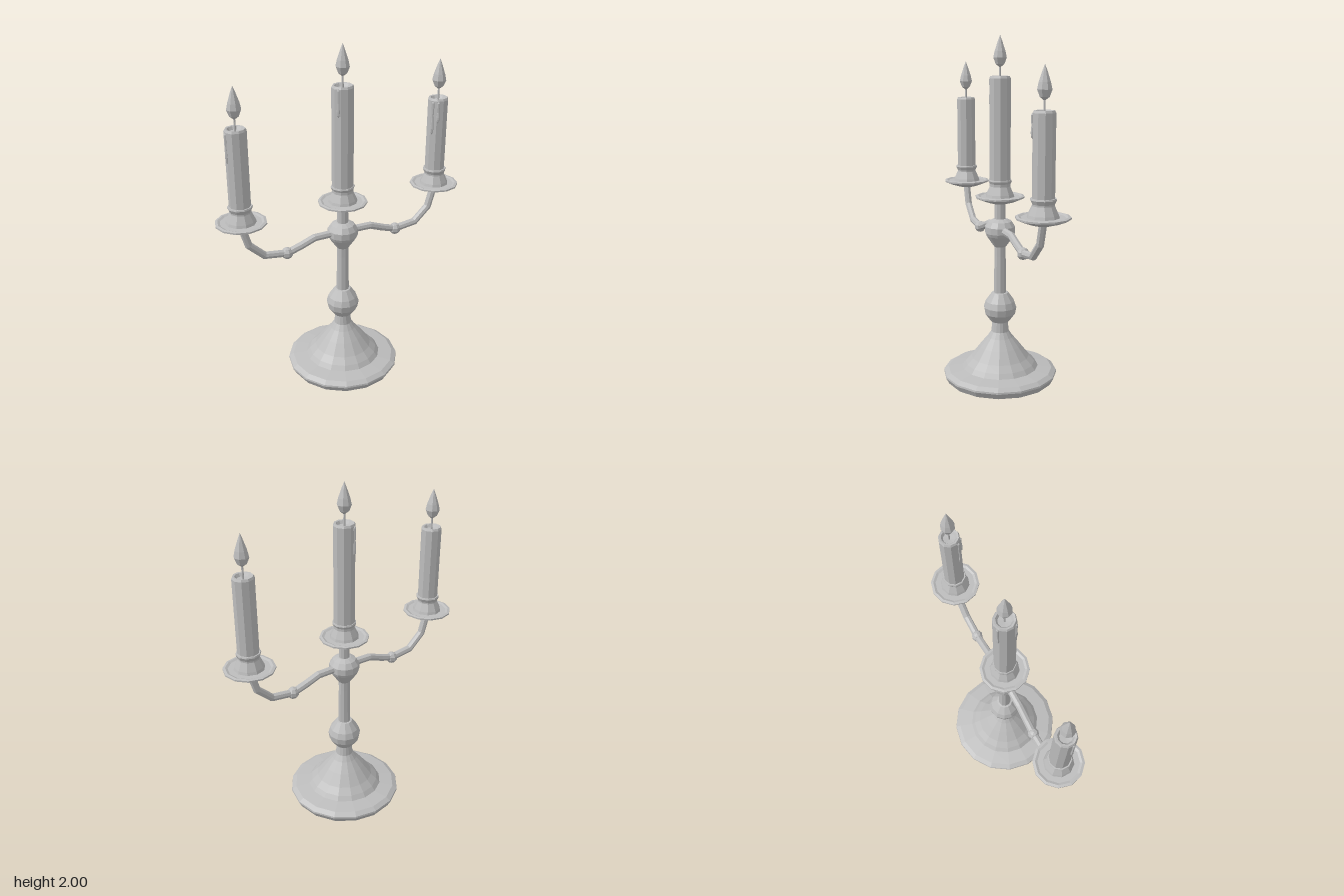
import * as THREE from 'three';

const metal = new THREE.MeshStandardMaterial({ color: 0xbcbcbc, flatShading: true });
metal.name = 'plain grey';

function add(parent, geometry, name) {
  const mesh = new THREE.Mesh(geometry, metal);
  mesh.name = name;
  parent.add(mesh);
  return mesh;
}

// Faceted turned part; the profile runs from bottom to top as [radius, height]
function turned(parent, name, profile, sides) {
  const pts = profile.map(([r, y]) => new THREE.Vector2(r, y));
  return add(parent, new THREE.LatheGeometry(pts, sides), name);
}

// Candle on its drip dish; drips are [angle from +z, length, start below the rim]
function candleHolder(name, x, top, radius, drips) {
  const g = new THREE.Group();
  g.name = name;
  g.position.x = x;
  turned(g, 'dish', [[0, 1.055], [0.045, 1.06], [0.09, 1.073], [0.142, 1.094], [0.142, 1.103],
    [0.128, 1.106], [0.115, 1.1], [0, 1.1]], 12);
  turned(g, 'cup', [[0.085, 1.1], [0.08, 1.115], [0.057, 1.165], [0.069, 1.19], [0.066, 1.198],
    [0.05, 1.198]], 10);
  turned(g, 'candle', [[radius, 1.16], [radius, top - 0.012], [radius - 0.006, top],
    [radius - 0.016, top - 0.002], [radius - 0.026, top - 0.018], [0, top - 0.022]], 10);
  add(g, new THREE.CylinderGeometry(0.005, 0.006, 0.09, 6), 'wick').position.y = top + 0.02;
  turned(g, 'flame', [[0, top + 0.045], [0.026, top + 0.065], [0.04, top + 0.1],
    [0.032, top + 0.135], [0.013, top + 0.19], [0, top + 0.222]], 8);

  // Wax runs, thicker at the lower end
  drips.forEach(([angle, length, start]) => {
    const drip = turned(g, 'waxDrip', [[0, -length], [0.008, -length + 0.012],
      [0.009, -length + 0.035], [0.006, -length * 0.5], [0.008, -0.012], [0, 0]], 6);
    const r = radius - 0.001;
    drip.position.set(Math.sin(angle) * r, top - start, Math.cos(angle) * r);
  });
  return g;
}

// Curved arm with straight facets between its stations
function arm(parent, side) {
  const path = [[0.04, 0.908], [0.18, 0.906], [0.265, 0.874], [0.35, 0.848], [0.485, 0.866],
    [0.575, 0.95], [0.61, 1.07]];
  const curve = new THREE.CatmullRomCurve3(path.map(([x, y]) => new THREE.Vector3(x * side, y, 0)));
  curve.getUtoTmapping = (u) => u;
  add(parent, new THREE.TubeGeometry(curve, path.length - 1, 0.022, 8), 'arm');
  add(parent, new THREE.SphereGeometry(0.035, 8, 5), 'armBead').position.set(0.35 * side, 0.848, 0);
}

export function createModel() {
  const model = new THREE.Group();
  model.name = 'candelabra';

  // Foot, stem and knops
  turned(model, 'foot', [[0, 0], [0.318, 0], [0.337, 0.035], [0.335, 0.045], [0.308, 0.062],
    [0.225, 0.074], [0.205, 0.1], [0.17, 0.135], [0.12, 0.2], [0.075, 0.255], [0.052, 0.29],
    [0.044, 0.36]], 16);
  turned(model, 'lowerKnop', [[0.036, 0.35], [0.055, 0.352], [0.09, 0.4], [0.097, 0.44],
    [0.085, 0.475], [0.048, 0.527], [0.03, 0.53]], 12);
  turned(model, 'stem', [[0.038, 0.5], [0.034, 0.75], [0.034, 0.8], [0.032, 1.07]], 10);
  turned(model, 'upperKnop', [[0.034, 0.805], [0.042, 0.815], [0.08, 0.87], [0.088, 0.888],
    [0.088, 0.925], [0.068, 0.955], [0.04, 0.968], [0.03, 0.97]], 12);

  for (const side of [-1, 1]) arm(model, side);

  model.add(
    candleHolder('centreCandle', 0, 1.778, 0.062, [[-2.65, 0.17, 0.006], [-0.85, 0.16, 0.006]]),
    candleHolder('rightCandle', -0.61, 1.63, 0.059, [[-1.35, 0.17, 0.01]]),
    candleHolder('leftCandle', 0.61, 1.63, 0.059, [[-1.05, 0.2, 0.01], [-0.5, 0.13, 0.01]]),
  );
  return model;
}
